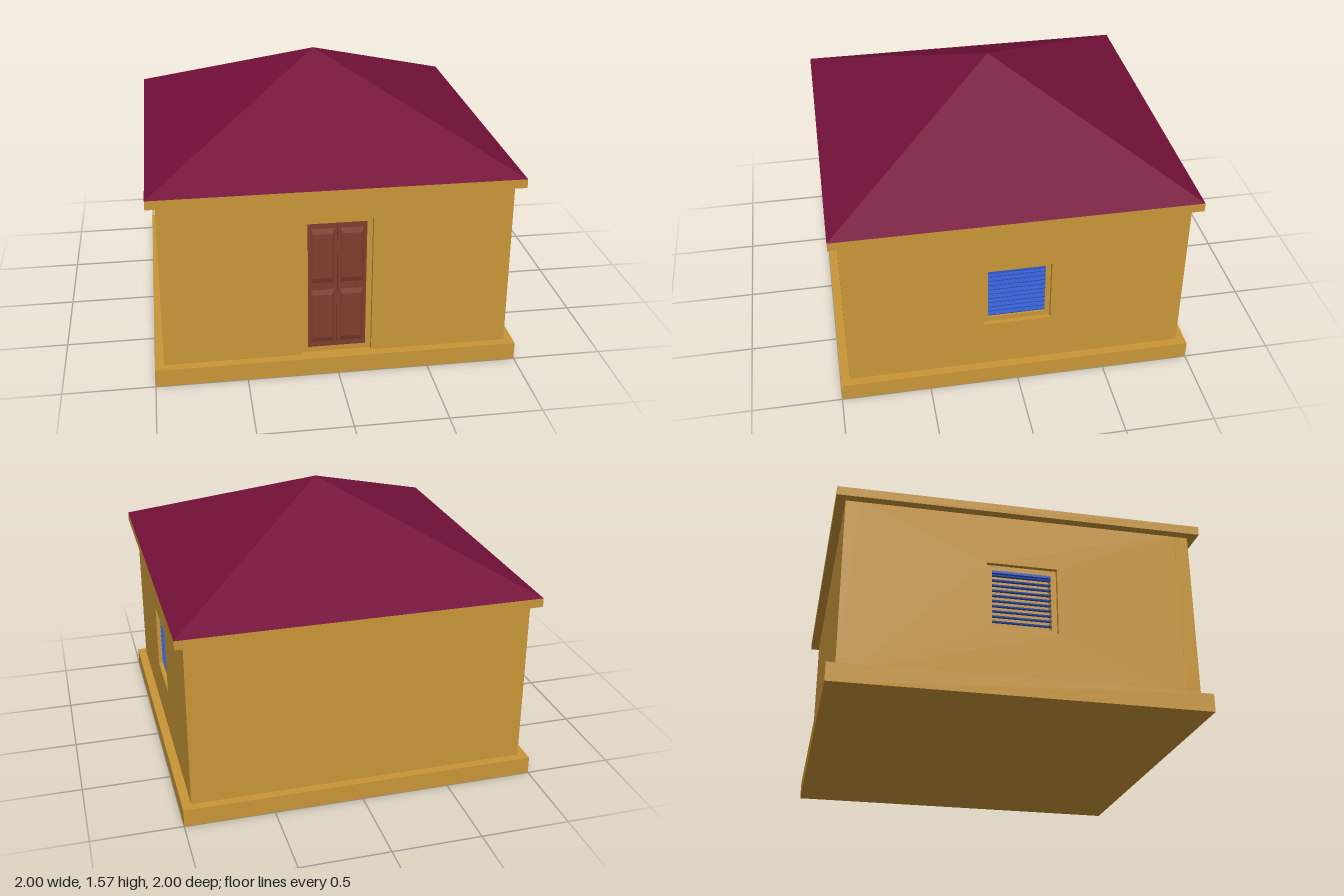
import * as THREE from 'three';

const mat = (color) => new THREE.MeshStandardMaterial({ color, flatShading: true });
const ochre = mat(0xc99638), maroon = mat(0x74103a), brown = mat(0x7f3d2d), blue = mat(0x2f58c8);
const WALL = 0.95, THICK = 0.08, INSET = 0.925;

function add(parent, name, geometry, material, x = 0, y = 0, z = 0) {
  const mesh = new THREE.Mesh(geometry, material);
  mesh.name = name;
  mesh.position.set(x, y, z);
  parent.add(mesh);
  return mesh;
}
const box = (w, h, d) => new THREE.BoxGeometry(w, h, d);

function rect(Type, w, y0, y1) {
  return new Type([[-w, y0], [w, y0], [w, y1], [-w, y1]].map(([x, y]) => new THREE.Vector2(x, y)));
}

// Upright slab in the xy plane, with an optional rectangular opening
function slab(halfWidth, y0, y1, depth, hole) {
  const shape = rect(THREE.Shape, halfWidth, y0, y1);
  if (hole) shape.holes.push(rect(THREE.Path, ...hole));
  return new THREE.ExtrudeGeometry(shape, { depth, bevelEnabled: false });
}

// Panel with sloping edges, its face in front of the leaf
function raisedPanel(w, h, d) {
  const g = new THREE.CylinderGeometry(Math.SQRT1_2 * 0.8, Math.SQRT1_2, 1, 4, 1);
  g.rotateY(Math.PI / 4).rotateX(Math.PI / 2).scale(w, h, d);
  return g;
}

function makeDoor() {
  const door = new THREE.Group();
  door.name = 'door';
  add(door, 'doorFrame', slab(0.19, 0.1, 0.91, 0.04, [0.16, 0.13, 0.88]), ochre, 0, 0, INSET - 0.04);
  for (const side of [-1, 1]) {
    add(door, 'doorLeaf', box(0.158, 0.75, 0.03), brown, side * 0.08, 0.505, INSET - 0.015);
    for (const y of [0.322, 0.688])
      add(door, 'doorPanel', raisedPanel(0.13, 0.33, 0.01), brown, side * 0.08, y, INSET + 0.004);
  }
  return door;
}

function makeWindow() {
  const win = new THREE.Group();
  win.name = 'window';
  add(win, 'windowFrame', slab(0.19, 0.385, 0.765, 0.05, [0.16, 0.415, 0.735]), ochre, 0, 0, INSET - 0.05);
  add(win, 'topSlat', box(0.32, 0.014, 0.03), blue, 0, 0.728, 0.912);
  // Louvre slats, sloping down towards the outside
  for (let i = 0; i < 10; i++)
    add(win, 'slat', box(0.32, 0.007, 0.04), blue, 0, 0.44 + i * 0.0302, 0.913).rotation.x = 0.3;
  return win;
}

export function createModel() {
  const house = new THREE.Group();
  house.name = 'house';

  // Plinth, eaves slab and pyramid roof
  add(house, 'plinth', box(2, 0.1, 2), ochre, 0, 0.05, 0);
  add(house, 'eaves', box(2, 0.05, 2), ochre, 0, 1.075, 0);
  const roof = new THREE.ConeGeometry(Math.SQRT2, 0.47, 4, 1, true).rotateY(Math.PI / 4);
  add(house, 'roof', roof, maroon, 0, 1.335, 0);

  // Solid core closes the back of the openings
  const inner = WALL - THICK;
  add(house, 'core', box(inner * 2, 0.95, inner * 2), ochre, 0, 0.575, 0);

  // Four walls: door in front, a window on each side, plain back
  const doorHole = [0.19, 0.1, 0.91], windowHole = [0.19, 0.385, 0.765];
  const walls = [
    ['frontWall', 0, WALL, doorHole, makeDoor],
    ['leftWall', Math.PI / 2, inner, windowHole, makeWindow],
    ['backWall', Math.PI, WALL, null, null],
    ['rightWall', -Math.PI / 2, inner, windowHole, makeWindow],
  ];
  for (const [name, angle, halfWidth, hole, fitting] of walls) {
    const side = new THREE.Group();
    side.name = name;
    side.rotation.y = angle;
    add(side, 'wallPanel', slab(halfWidth, 0.08, 1.06, THICK, hole), ochre, 0, 0, inner);
    if (fitting) side.add(fitting());
    house.add(side);
  }
  return house;
}
